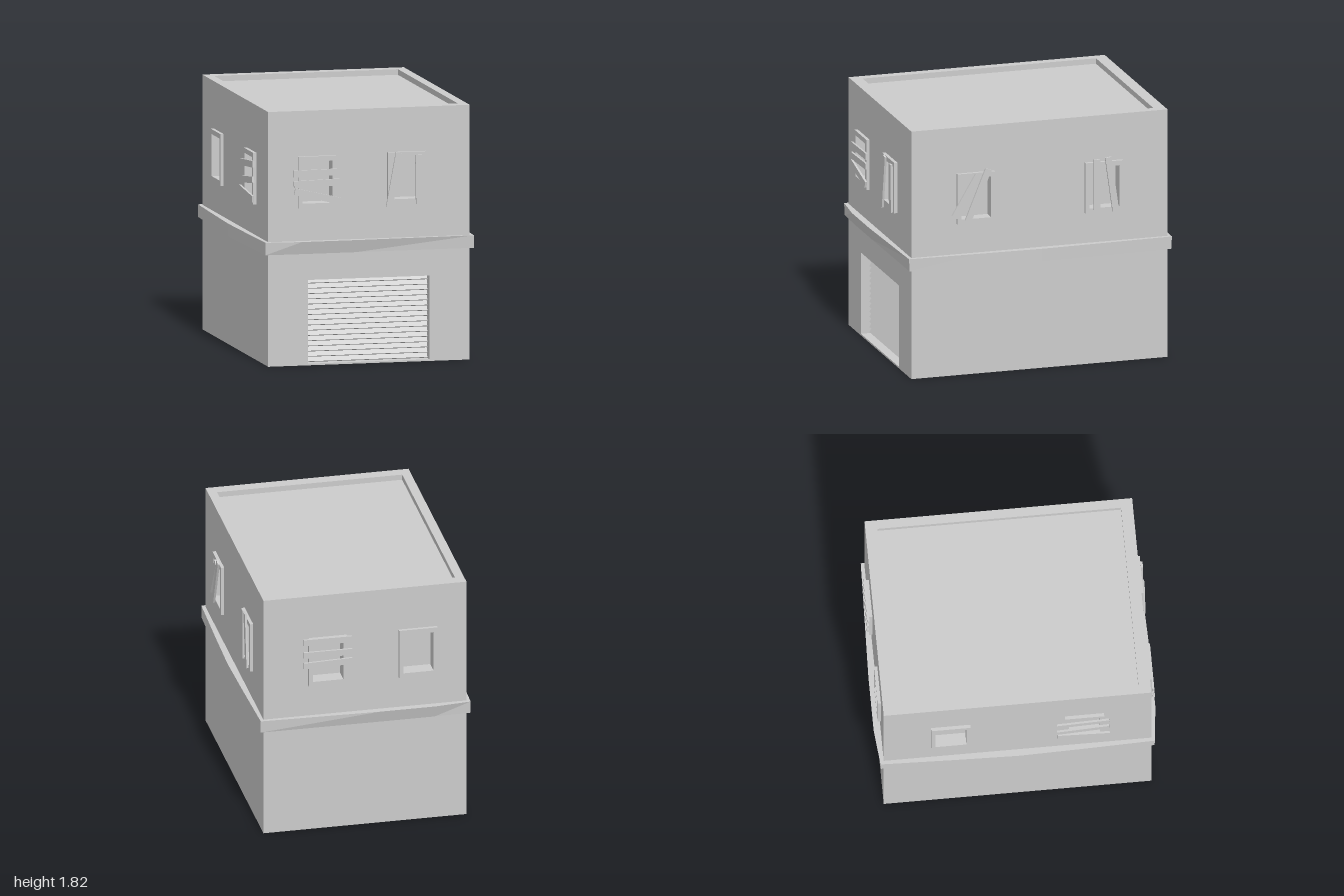
import * as THREE from 'three';

const material = new THREE.MeshStandardMaterial({ color: 0xcccccc, flatShading: true });
const W = 0.735, D = 0.95, H = 1.82;      // half width, half depth, height
const SIDE_T = 0.065, FRONT_T = 0.085;    // wall thicknesses
const OPEN_W = 0.22, OPEN_H = 0.3;        // window opening

function mesh(name, geometry, parent) {
  const m = new THREE.Mesh(geometry, material);
  m.name = name;
  parent.add(m);
  return m;
}

function box(name, parent, size, pos) {
  const m = mesh(name, new THREE.BoxGeometry(...size), parent);
  m.position.set(...pos);
  return m;
}

function rect(Type, x0, y0, x1, y1) {
  return new Type([[x0, y0], [x1, y0], [x1, y1], [x0, y1]].map(p => new THREE.Vector2(...p)));
}

const centred = (Type, x, y, w, h) => rect(Type, x - w / 2, y - h / 2, x + w / 2, y + h / 2);

// One facade, built facing +z with its outer surface at z = 0, then turned into place
function facade(name, { half, thick, dist, turn, windows, door }) {
  const g = new THREE.Group();
  g.name = name;
  const pivot = new THREE.Group();
  pivot.position.z = dist;
  g.add(pivot);
  g.rotation.y = turn;

  const wall = rect(THREE.Shape, -half, 0, half, H);
  if (door) wall.holes.push(rect(THREE.Path, ...door));
  for (const { at: [x, y] } of windows) wall.holes.push(centred(THREE.Path, x, y, OPEN_W, OPEN_H));
  const wallGeo = new THREE.ExtrudeGeometry(wall, { depth: thick, bevelEnabled: false });
  mesh('wall', wallGeo.translate(0, 0, -thick), pivot);

  for (const { at: [x, y], boards = [] } of windows) {
    // Raised frame
    const frame = centred(THREE.Shape, x, y, 0.278, 0.37);
    frame.holes.push(centred(THREE.Path, x, y, OPEN_W, OPEN_H));
    mesh('windowFrame', new THREE.ExtrudeGeometry(frame, { depth: 0.024, bevelEnabled: false }), pivot);
    // Planks nailed across, given by their end points
    boards.forEach(([x0, y0, x1, y1], i) => {
      const plank = box('windowBoard', pivot, [Math.hypot(x1 - x0, y1 - y0), 0.047, 0.015],
        [(x0 + x1) / 2, (y0 + y1) / 2, 0.031 + i * 0.002]);
      plank.rotation.z = Math.atan2(y1 - y0, x1 - x0);
    });
  }
  return g;
}

// Roller shutter with a saw-tooth slat profile
function shutter(x0, y0, x1, y1, z) {
  const slats = 16, step = (y1 - y0) / slats;
  const profile = new THREE.Shape();
  profile.moveTo(-0.01, y0);
  for (let i = 0; i < slats; i++) {
    const y = y0 + i * step;
    profile.lineTo(0.004, y);
    profile.lineTo(0.022, y + step * 0.2);
    profile.lineTo(0.004, y + step);
  }
  profile.lineTo(-0.01, y1);
  const geo = new THREE.ExtrudeGeometry(profile, { depth: x1 - x0, bevelEnabled: false });
  return geo.rotateY(-Math.PI / 2).translate(x1, 0, z);
}

// Ledge around the building, slightly bowed along each side
function ledge() {
  // x, z at top, z at bottom
  const outline = [
    [-0.76, 0.975, 0.97], [-0.5, 1, 0.975], [-0.1, 1, 0.975], [0.76, 0.975, 0.97],
    [0.775, 0.45, 0.45], [0.785, 0, 0], [0.775, -0.45, -0.45],
    [0.76, -0.975, -0.97], [-0.1, -1, -0.975], [-0.5, -1, -0.975], [-0.76, -0.975, -0.97],
    [-0.775, -0.45, -0.45], [-0.785, 0, 0], [-0.775, 0.45, 0.45],
  ];
  const clamp = THREE.MathUtils.clamp;
  const inner = ([x, z], y) => [clamp(x, -W + 0.01, W - 0.01), y, clamp(z, -D + 0.01, D - 0.01)];
  const rings = [
    outline.map(p => inner(p, 0.8)),
    outline.map(([x, , z]) => [x, 0.8, z]),
    outline.map(([x, z]) => [x, 0.89, z]),
    outline.map(p => inner(p, 0.89)),
  ];
  const pos = [];
  for (let r = 0; r < 3; r++) {
    for (let i = 0; i < outline.length; i++) {
      const j = (i + 1) % outline.length;
      const a = rings[r][i], b = rings[r][j], c = rings[r + 1][j], d = rings[r + 1][i];
      pos.push(...a, ...b, ...c, ...a, ...c, ...d);
    }
  }
  const geo = new THREE.BufferGeometry();
  geo.setAttribute('position', new THREE.Float32BufferAttribute(pos, 3));
  geo.computeVertexNormals();
  return geo;
}

export function createModel() {
  const model = new THREE.Group();
  model.name = 'building';

  // Core: its top is the sunken roof, its sides close the window and door recesses
  const roofY = 1.78;
  box('roofAndCore', model, [2 * (W - SIDE_T), roofY, 2 * (D - FRONT_T)], [0, roofY / 2, 0]);

  const door = [-0.445, 0.012, 0.442, 0.61];
  const long = { half: W, thick: FRONT_T, dist: D };
  const side = { half: D - FRONT_T, thick: SIDE_T, dist: W };

  model.add(facade('frontFacade', {
    ...long, turn: 0, door, windows: [
      { at: [-0.38, 1.31], boards: [
        [-0.555, 1.375, -0.215, 1.38], [-0.555, 1.3, -0.215, 1.308], [-0.55, 1.25, -0.22, 1.172]] },
      { at: [0.272, 1.318], boards: [[0.212, 1.5, 0.14, 1.112], [0.354, 1.48, 0.359, 1.13]] },
    ],
  }));
  model.add(facade('backFacade', {
    ...long, turn: Math.PI, windows: [
      { at: [-0.272, 1.31], boards: [
        [-0.45, 1.475, -0.1, 1.473], [-0.45, 1.377, -0.1, 1.375], [-0.45, 1.295, -0.1, 1.305]] },
      { at: [0.382, 1.31] },
    ],
  }));
  model.add(facade('leftFacade', {
    ...side, turn: Math.PI / 2, windows: [
      { at: [-0.475, 1.297], boards: [[-0.64, 1.17, -0.464, 1.467], [-0.54, 1.135, -0.389, 1.505]] },
      { at: [0.475, 1.297], boards: [[0.418, 1.135, 0.418, 1.505], [0.555, 1.12, 0.5, 1.515]] },
    ],
  }));
  model.add(facade('rightFacade', {
    ...side, turn: -Math.PI / 2, windows: [
      { at: [-0.475, 1.297] },
      { at: [0.475, 1.297], boards: [
        [0.28, 1.375, 0.65, 1.405], [0.28, 1.25, 0.65, 1.295], [0.28, 1.185, 0.65, 1.155]] },
    ],
  }));

  mesh('garageShutter', shutter(...door, D - FRONT_T), model);
  mesh('ledge', ledge(), model);
  return model;
}
